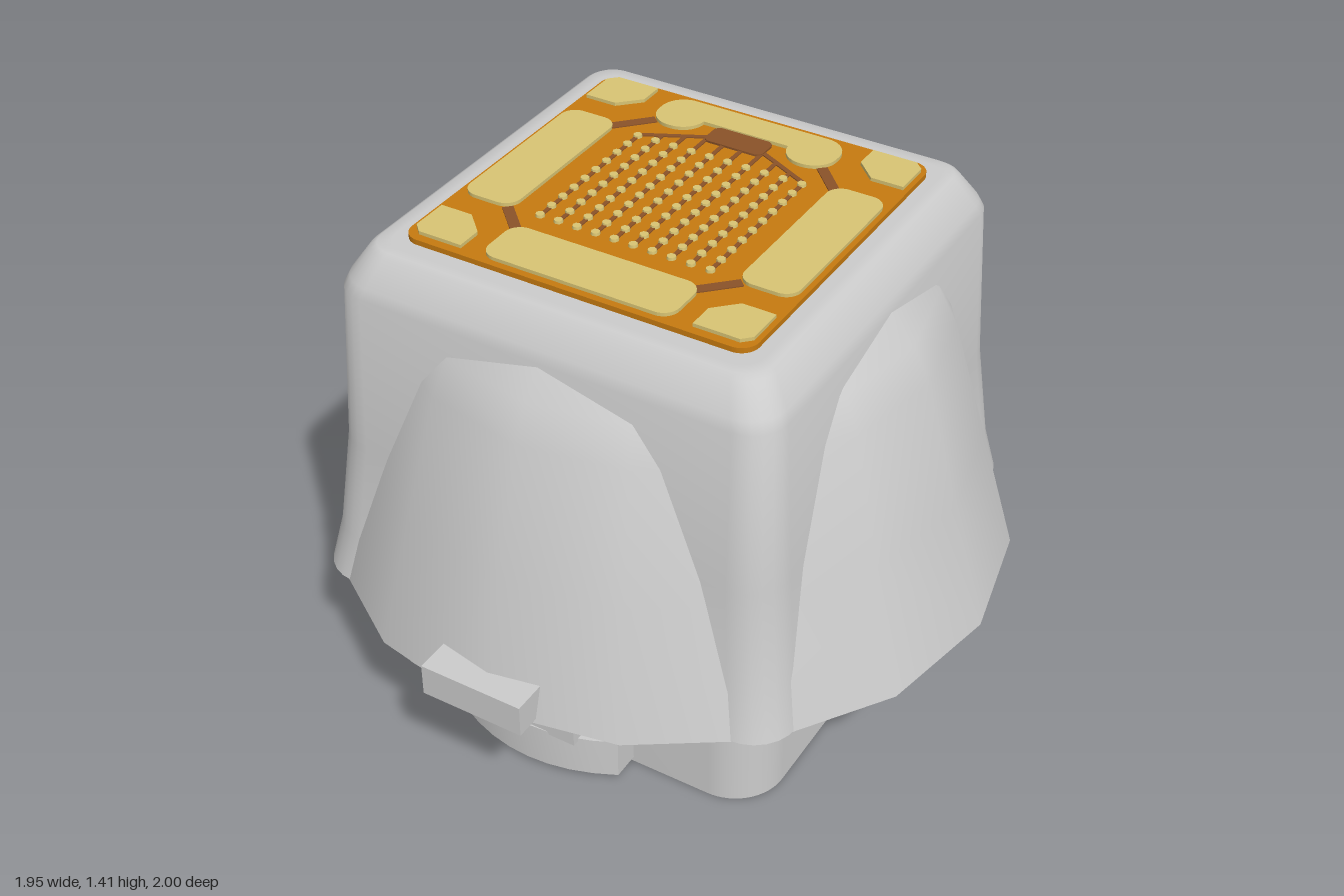
import * as THREE from 'three';
import { mergeGeometries, toCreasedNormals } from 'three/addons/utils/BufferGeometryUtils.js';

const paint = (color, side = THREE.FrontSide) => new THREE.MeshStandardMaterial({ color, side });
const grey = paint(0xcccccc), orange = paint(0xc67a10), gold = paint(0xd8c474), brown = paint(0x8a5228);
const points = (list) => list.map(([x, y]) => new THREE.Vector2(x, y));

// Rounded rectangle in plan, shape y pointing to the back (-z)
function roundRect(x0, z0, x1, z1, r, Type = THREE.Shape) {
  const s = new Type(), a = -z1, b = -z0, q = Math.PI / 2;
  s.absarc(x1 - r, a + r, r, -q, 0);
  s.absarc(x1 - r, b - r, r, 0, q);
  s.absarc(x0 + r, b - r, r, q, 2 * q);
  s.absarc(x0 + r, a + r, r, 2 * q, 3 * q);
  s.closePath();
  return s;
}

// Plan shape raised from y0 to y1
function slab(shape, y0, y1) {
  const g = new THREE.ExtrudeGeometry(shape, { depth: y1 - y0, bevelEnabled: false, curveSegments: 8 });
  return toCreasedNormals(g.rotateX(-Math.PI / 2).translate(0, y0, 0), 0.6);
}

// Rounded-square cross-sections [half width, y, corner radius] joined bottom to top, with a top cap
function squareLoft(rings, steps = 6) {
  const pos = [], idx = [], n = 4 * (steps + 1);
  for (const [h, y, r] of rings)
    for (let c = 0; c < 4; c++)
      for (let i = 0; i <= steps; i++) {
        const a = (c + i / steps) * Math.PI / 2, m = (c + 0.5) * Math.PI / 2;
        pos.push(Math.sign(Math.cos(m)) * (h - r) + r * Math.cos(a), y,
          -Math.sign(Math.sin(m)) * (h - r) - r * Math.sin(a));
      }
  for (let k = 0; k < rings.length - 1; k++)
    for (let i = 0; i < n; i++) {
      const a = k * n + i, b = k * n + (i + 1) % n;
      idx.push(a, b, b + n, a, b + n, a + n);
    }
  const top = (rings.length - 1) * n;
  for (let i = 0; i < n; i++) idx.push(top + i, top + (i + 1) % n, rings.length * n);
  pos.push(0, rings[rings.length - 1][1], 0);
  const g = new THREE.BufferGeometry();
  g.setAttribute('position', new THREE.Float32BufferAttribute(pos, 3));
  g.setIndex(idx);
  return toCreasedNormals(g, 1.1);
}

// Flat circuit trace between two plan points
function trace(x0, z0, x1, z1, w) {
  const len = Math.hypot(x1 - x0, z1 - z0);
  return new THREE.BoxGeometry(len, 0.006, w)
    .rotateY(-Math.atan2(z1 - z0, x1 - x0))
    .translate((x0 + x1) / 2, 1.4, (z0 + z1) / 2);
}

export function createModel() {
  const model = new THREE.Group();
  model.name = 'sensorHousing';
  const add = (name, geo, mat = grey, parent = model) => {
    const m = new THREE.Mesh(geo, mat);
    m.name = name;
    parent.add(m);
  };

  // Sixteen-sided skirt with its underside
  const skirt = points([[0.5, 0.347], [0.9, 0.347], [0.975, 0.362], [0.87, 0.73], [0.765, 1.09], [0.715, 1.19], [0.61, 1.31]]);
  add('skirt', toCreasedNormals(new THREE.LatheGeometry(skirt, 16).scale(1, 1, 0.987), 0.6));

  // Square pillar rising through the skirt, its corners flaring down to the rim
  add('pillar', squareLoft([[0.6, 0.35, 0.1], [0.733, 0.364, 0.13], [0.705, 0.5, 0.125], [0.672, 0.8, 0.12],
    [0.645, 1.27, 0.1], [0.633, 1.3, 0.1], [0.585, 1.375, 0.08], [0.57, 1.385, 0.07], [0.54, 1.385, 0.06]]));

  // Hollow base: thin wall, recessed floor with a round bore, open cavity above
  const wall = roundRect(-0.63, -0.62, 0.63, 0.62, 0.15);
  wall.holes.push(roundRect(-0.585, -0.575, 0.585, 0.575, 0.11, THREE.Path));
  add('baseWall', slab(wall, 0, 0.35));
  const floor = roundRect(-0.6, -0.59, 0.6, 0.59, 0.12);
  floor.holes.push(new THREE.Path().absarc(0, 0, 0.36, 0, Math.PI * 2));
  add('baseFloor', slab(floor, 0.19, 0.37));
  const cavity = new THREE.LatheGeometry(points([[0.5, 0.36], [0.5, 1.28], [0, 1.28]]), 32);
  add('cavity', toCreasedNormals(cavity, 0.6), paint(0xcccccc, THREE.DoubleSide));

  // Clip and tab on the front and the back
  const plate = new THREE.Shape();
  plate.moveTo(-0.253, -0.6);
  plate.lineTo(-0.253, -0.7);
  plate.quadraticCurveTo(0, -0.835, 0.253, -0.7);
  plate.lineTo(0.253, -0.6);
  plate.closePath();
  const stem = new THREE.Shape(points([[0.6, 0.13], [0.762, 0.13], [0.762, 0.205], [0.81, 0.235], [0.81, 0.3],
    [0.755, 0.31], [0.755, 0.35], [0.6, 0.35]]));
  const stemGeo = new THREE.ExtrudeGeometry(stem, { depth: 0.305, bevelEnabled: false })
    .rotateY(-Math.PI / 2).translate(0.1525, 0, 0);
  for (const [side, turn] of [['front', 0], ['back', Math.PI]]) {
    const clip = new THREE.Group();
    clip.name = side + 'Clip';
    clip.rotation.y = turn;
    clip.position.x = -0.007;
    add(side + 'ClipPlate', slab(plate, 0.015, 0.14), grey, clip);
    add(side + 'ClipStem', stemGeo, grey, clip);
    add(side + 'Tab', new THREE.BoxGeometry(0.305, 0.095, 0.16).translate(0, 0.422, 0.92), grey, clip);
    model.add(clip);
  }

  // Circuit board on top
  add('board', slab(roundRect(-0.51, -0.505, 0.51, 0.5, 0.05), 1.375, 1.4), orange);

  // Contact pads
  const pads = [
    roundRect(-0.28, 0.32, 0.28, 0.48, 0.045),
    roundRect(-0.21, -0.48, 0.21, -0.39, 0.02),
  ];
  for (const s of [-1, 1]) {
    const c = s * 0.415;
    pads.push(roundRect(c - 0.08, -0.27, c + 0.08, 0.255, 0.045));
    pads.push(roundRect(s * 0.205 - 0.073, -0.48, s * 0.205 + 0.073, -0.325, 0.07));
    // Corner pads with the corner nearest the centre cut off
    for (const t of [-1, 1]) {
      const z0 = t < 0 ? 0.355 : 0.34, z1 = z0 + 0.135;
      pads.push(new THREE.Shape(points([[0.34, z1], [0.47, z1], [0.495, z1 - 0.025], [0.495, z0], [0.4, z0], [0.34, z0 + 0.06]]
        .map(([x, z]) => [s * x, -t * z]))));
    }
  }
  pads.forEach((p, i) => add('pad' + (i + 1), slab(p, 1.395, 1.41), gold));
  add('chip', slab(roundRect(-0.09, -0.39, 0.09, -0.31, 0.02), 1.395, 1.406), brown);

  // Grid of contacts on thin traces that end at a slanted line running to the chip
  const traces = [], dots = [];
  for (let i = 0; i < 10; i++) {
    const x = (i - 4.5) * 0.0565;
    traces.push(trace(x, Math.max(-0.33, -0.25 - 0.5 * (0.255 - Math.abs(x))), x, 0.25, 0.012));
    for (let j = 0; j < 10; j++)
      dots.push(new THREE.CylinderGeometry(0.012, 0.014, 0.012, 8).translate(x, 1.402, -0.24 + j * 0.0535));
  }
  for (const s of [-1, 1]) {
    traces.push(trace(s * 0.35, -0.25, s * 0.26, -0.345, 0.03));
    traces.push(trace(s * 0.35, 0.25, s * 0.26, 0.34, 0.03));
    traces.push(trace(s * 0.255, -0.25, s * 0.085, -0.335, 0.014));
  }
  add('traces', mergeGeometries(traces), brown);
  add('contactGrid', mergeGeometries(dots), gold);
  return model;
}
